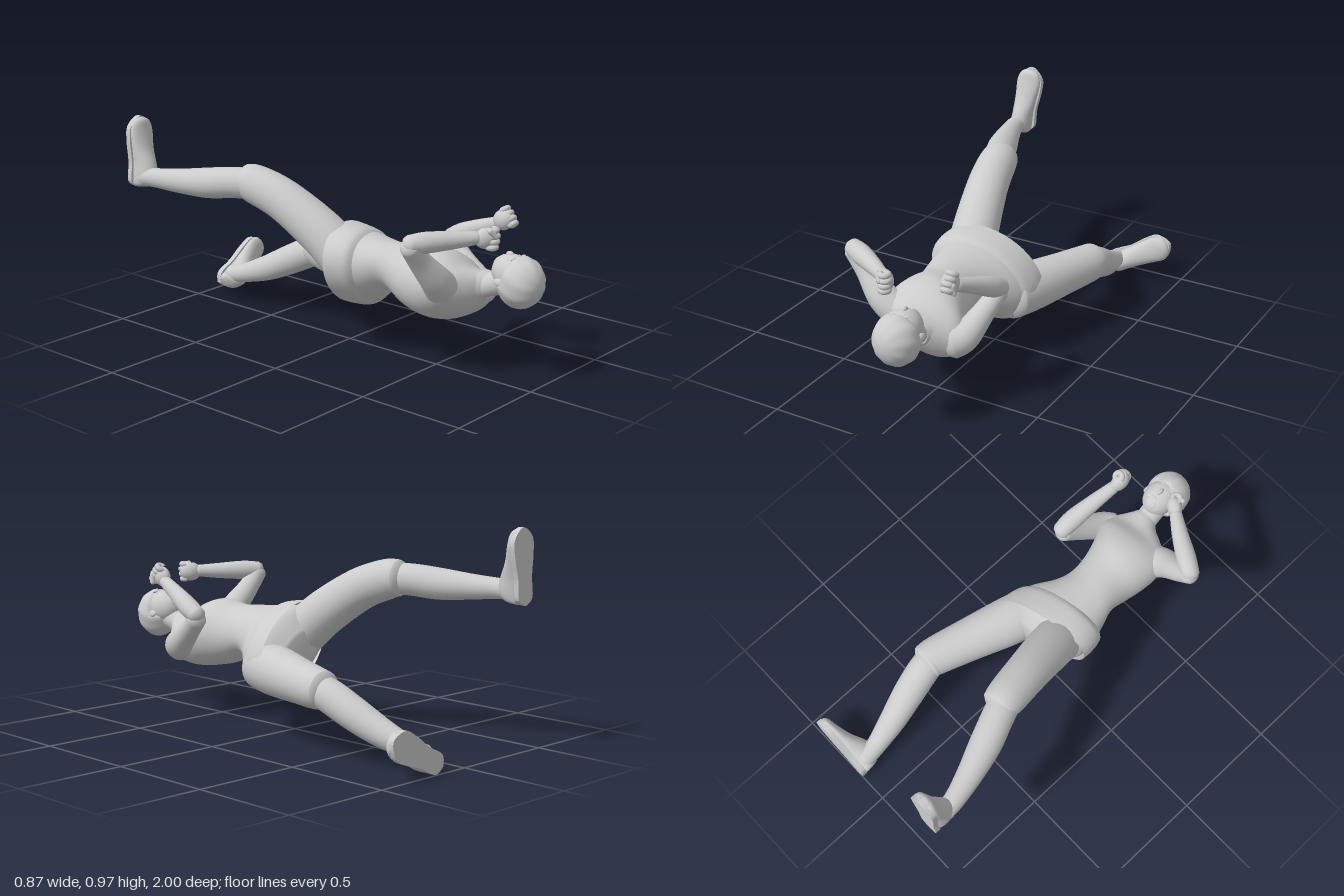
import * as THREE from 'three';

const V = (x, y, z) => new THREE.Vector3(x, y, z);
const material = new THREE.MeshStandardMaterial({ color: 0xcccccc });
const openMaterial = new THREE.MeshStandardMaterial({ color: 0xcccccc, side: THREE.DoubleSide });

function addMesh(parent, name, geometry, mat = material) {
  const mesh = new THREE.Mesh(geometry, mat);
  mesh.name = name;
  parent.add(mesh);
  return mesh;
}

// Smooth skin over a list of rings, with optional end caps
function skin(rings, capped = true) {
  const n = rings[0].length, pos = [], idx = [];
  rings.forEach(r => r.forEach(p => pos.push(p.x, p.y, p.z)));
  for (let i = 0; i < rings.length - 1; i++) {
    for (let j = 0; j < n; j++) {
      const a = i * n + j, b = i * n + (j + 1) % n;
      idx.push(a, b, a + n, b, b + n, a + n);
    }
  }
  if (capped) {
    for (const i of [0, rings.length - 1]) {
      const mid = rings[i].reduce((s, p) => s.add(p), V(0, 0, 0)).divideScalar(n);
      const c = pos.push(mid.x, mid.y, mid.z) / 3 - 1;
      for (let j = 0; j < n; j++) {
        const a = i * n + j, b = i * n + (j + 1) % n;
        i ? idx.push(a, b, c) : idx.push(b, a, c);
      }
    }
  }
  // Turn the faces outward
  let volume = 0;
  const at = k => V(pos[3 * k], pos[3 * k + 1], pos[3 * k + 2]).sub(rings[0][0]);
  for (let k = 0; k < idx.length; k += 3) volume += at(idx[k]).dot(at(idx[k + 1]).cross(at(idx[k + 2])));
  if (volume < 0) idx.reverse();
  const g = new THREE.BufferGeometry();
  g.setAttribute('position', new THREE.Float32BufferAttribute(pos, 3));
  g.setIndex(idx);
  g.computeVertexNormals();
  return g;
}

const ring = (c, u, v, n = 32) => Array.from({ length: n }, (_, j) => {
  const a = j / n * Math.PI * 2;
  return c.clone().addScaledVector(u, Math.cos(a)).addScaledVector(v, Math.sin(a));
});

// Interpolate rows of numbers smoothly
function smoothRows(rows, steps) {
  const last = rows.length - 1, out = [];
  const curves = rows[0].map((_, k) => new THREE.SplineCurve(rows.map((r, i) => new THREE.Vector2(i, r[k]))));
  for (let s = 0; s <= last * steps; s++) out.push(curves.map(c => c.getPoint(s / (last * steps)).y));
  return out;
}

// Body sections across z: [z, x, y, half width, half depth, roll in degrees]
function trunk(rows, shear = 0, capped = true) {
  return skin(smoothRows(rows, 5).map(([z, x, y, a, b, roll]) => {
    const t = THREE.MathUtils.degToRad(roll);
    const points = ring(V(x, y, z), V(Math.cos(t), Math.sin(t), 0).multiplyScalar(a),
      V(-Math.sin(t), Math.cos(t), 0).multiplyScalar(b), 48);
    points.forEach(p => { p.z -= shear * p.x; });
    return points;
  }), capped);
}

// Limb through points [x, y, z, radius]; bulge sets how far the rounded ends reach
function limb(rows, bulge = 0.6) {
  const fine = smoothRows(rows, 6), pts = fine.map(r => V(r[0], r[1], r[2]));
  const dir = pts[pts.length - 1].clone().sub(pts[0]);
  const size = dir.toArray().map(Math.abs), ref = V(0, 0, 0);
  ref.setComponent(size.indexOf(Math.min(...size)), 1);
  const rings = [];
  fine.forEach((row, i) => {
    const t = pts[Math.min(i + 1, pts.length - 1)].clone().sub(pts[Math.max(i - 1, 0)]).normalize();
    const u = t.clone().cross(ref).normalize(), v = t.clone().cross(u), r = row[3];
    const add = (off, k) => rings.push(ring(pts[i].clone().addScaledVector(t, off * bulge * r),
      u.clone().multiplyScalar(r * k), v.clone().multiplyScalar(r * k), 24));
    if (i === 0) { add(-1, 0.25); add(-0.67, 0.75); }
    add(0, 1);
    if (i === fine.length - 1) { add(0.67, 0.75); add(1, 0.25); }
  });
  return skin(rings);
}

function blob(parent, name, center, radii) {
  const m = addMesh(parent, name, new THREE.SphereGeometry(1, 32, 20));
  m.position.set(...center);
  m.scale.set(...radii);
  return m;
}

// Shoe: toe along +y, sole on z = 0
function makeFoot(name, x, y, turn) {
  const foot = new THREE.Group();
  foot.name = name;
  const rows = [[0.006, 0.02, 0.05], [0.02, 0.042, 0.1], [0.06, 0.05, 0.13], [0.12, 0.05, 0.115],
    [0.19, 0.056, 0.08], [0.27, 0.062, 0.055], [0.315, 0.045, 0.045], [0.33, 0.015, 0.03]];
  addMesh(foot, 'shoeUpper', skin(smoothRows(rows, 4).map(([fy, w, h]) =>
    ring(V(0, fy, h / 2 + 0.005), V(w, 0, 0), V(0, 0, h / 2)))));
  const outline = new THREE.Shape(new THREE.SplineCurve([[0, 0], [0.045, 0.03], [0.047, 0.12],
    [0.063, 0.22], [0.06, 0.29], [0, 0.337], [-0.06, 0.29], [-0.063, 0.22], [-0.047, 0.12],
    [-0.045, 0.03], [0, 0]].map(p => new THREE.Vector2(...p))).getPoints(50));
  addMesh(foot, 'sole', new THREE.ExtrudeGeometry(outline, { depth: 0.025, bevelEnabled: false }));
  foot.position.set(x, y, -1);
  foot.rotation.z = turn;
  return foot;
}

// Closed hand: local y along the forearm, x along the row of knuckles
function makeFist(name, center, forward, across) {
  const hand = new THREE.Group();
  hand.name = name;
  blob(hand, 'palm', [0, -0.008, 0], [0.045, 0.052, 0.034]);
  for (let i = 0; i < 4; i++) {
    const finger = addMesh(hand, 'finger', new THREE.TorusGeometry(0.017, 0.0135, 10, 14, Math.PI * 1.5));
    finger.position.set(-0.036 + i * 0.024, 0.022 - Math.abs(i - 1.3) * 0.005, 0.012);
    finger.rotation.set(0, Math.PI / 2, 0);
  }
  const thumb = addMesh(hand, 'thumb', new THREE.CapsuleGeometry(0.012, 0.035, 6, 12));
  thumb.position.set(-0.026, 0.008, 0.036);
  thumb.rotation.z = -0.8;
  const y = V(...forward).normalize(), z = V(...across).cross(y).normalize();
  hand.quaternion.setFromRotationMatrix(new THREE.Matrix4().makeBasis(y.clone().cross(z), y, z));
  hand.position.set(...center);
  return hand;
}

function makeHead() {
  const head = new THREE.Group();
  head.name = 'head';
  blob(head, 'face', [0, 0.025, -0.045], [0.077, 0.082, 0.098]);
  blob(head, 'jaw', [0, 0.043, -0.097], [0.046, 0.046, 0.044]);
  blob(head, 'nose', [0, 0.102, -0.065], [0.011, 0.016, 0.02]);
  blob(head, 'lips', [0, 0.087, -0.1], [0.02, 0.008, 0.007]);
  for (const s of [-1, 1]) {
    blob(head, 'eye', [s * 0.03, 0.093, -0.042], [0.013, 0.007, 0.007]);
    blob(head, 'brow', [s * 0.031, 0.099, -0.022], [0.019, 0.006, 0.005]);
    blob(head, 'ear', [s * 0.08, 0, -0.055], [0.01, 0.017, 0.027]).rotation.z = s * 0.3;
  }
  // Hair shell with soft wavy locks, longer at the nape than over the brow
  const hair = new THREE.SphereGeometry(1, 64, 32), p = hair.attributes.position;
  for (let i = 0; i < p.count; i++) {
    const d = V().fromBufferAttribute(p, i), a = Math.atan2(d.x, d.y);
    const k = 1 + 0.014 * Math.sin(9 * a + 4 * d.z) * Math.sqrt(Math.max(0, 1 - d.z * d.z));
    const floor = d.y > 0 ? -0.05 - 0.3 * Math.abs(d.x) : -0.85;
    const tuck = d.z < floor ? Math.max(0.75, 1 - (floor - d.z) * 0.8) : 1;
    p.setXYZ(i, d.x * 0.102 * k * tuck, d.y * 0.114 * k * tuck, d.z * 0.104 * k);
  }
  hair.computeVertexNormals();
  addMesh(head, 'hair', hair).position.y = -0.003;
  head.position.set(0.059, 0.452, 0.893);
  head.rotation.set(0.05, -0.06, 0.02);
  return head;
}

export function createModel() {
  const model = new THREE.Group();
  model.name = 'figure';

  // Torso, lying along z with the chest up
  addMesh(model, 'torso', trunk([
    [-0.045, 0, 0.37, 0.11, 0.07, -29], [0.03, 0, 0.375, 0.23, 0.153, -29],
    [0.12, -0.01, 0.375, 0.223, 0.16, -28], [0.22, -0.033, 0.403, 0.168, 0.13, -26],
    [0.3, -0.035, 0.421, 0.14, 0.107, -25], [0.4, -0.03, 0.395, 0.142, 0.135, -23],
    [0.5, -0.02, 0.39, 0.167, 0.156, -22], [0.58, 0, 0.38, 0.195, 0.145, -20],
    [0.65, 0.01, 0.375, 0.185, 0.105, -20], [0.7, 0.03, 0.385, 0.12, 0.08, -18],
    [0.73, 0.045, 0.4, 0.068, 0.062, -10]]));
  addMesh(model, 'hipBand', trunk([[0.155, -0.008, 0.378, 0.205, 0.148, -28],
    [0.125, -0.005, 0.376, 0.245, 0.168, -29], [0.065, -0.003, 0.376, 0.262, 0.177, -29],
    [0.012, -0.003, 0.378, 0.26, 0.18, -29]], 0.16, false), openMaterial);
  addMesh(model, 'neck', limb([[0.035, 0.385, 0.67, 0.06], [0.048, 0.41, 0.74, 0.053], [0.056, 0.44, 0.82, 0.055]]));
  addMesh(model, 'collar', trunk([[0.715, 0.04, 0.397, 0.085, 0.075, -12],
    [0.74, 0.046, 0.407, 0.062, 0.06, -10]], 0, false), openMaterial);
  model.add(makeHead());

  // Legs, with trousers cut off at the knee
  addMesh(model, 'leftThigh', limb([[0.12, 0.3, 0.08, 0.11], [0.155, 0.295, -0.05, 0.113],
    [0.215, 0.29, -0.24, 0.1], [0.263, 0.286, -0.4, 0.09], [0.27, 0.285, -0.455, 0.083]], 0.3));
  addMesh(model, 'leftCalf', limb([[0.265, 0.285, -0.4, 0.07], [0.26, 0.262, -0.48, 0.074],
    [0.24, 0.203, -0.6, 0.072], [0.212, 0.14, -0.73, 0.062], [0.187, 0.094, -0.86, 0.047], [0.18, 0.075, -0.94, 0.045]]));
  addMesh(model, 'rightThigh', limb([[-0.1, 0.42, 0.06, 0.11], [-0.13, 0.53, -0.06, 0.106],
    [-0.175, 0.652, -0.24, 0.096], [-0.205, 0.707, -0.38, 0.09], [-0.215, 0.715, -0.44, 0.08]], 0.3));
  addMesh(model, 'rightCalf', limb([[-0.21, 0.71, -0.38, 0.07], [-0.25, 0.71, -0.48, 0.071],
    [-0.3, 0.698, -0.6, 0.07], [-0.35, 0.694, -0.74, 0.056], [-0.384, 0.695, -0.86, 0.045], [-0.388, 0.69, -0.94, 0.045]]));
  model.add(makeFoot('leftFoot', 0.133, 0.03, -1.1), makeFoot('rightFoot', -0.388, 0.633, -0.09));

  // Arms, raised with closed hands
  addMesh(model, 'leftUpperArm', limb([[0.15, 0.33, 0.62, 0.073], [0.19, 0.35, 0.58, 0.066],
    [0.22, 0.42, 0.48, 0.05], [0.246, 0.492, 0.388, 0.043]]));
  addMesh(model, 'leftForearm', limb([[0.251, 0.506, 0.38, 0.04], [0.245, 0.54, 0.45, 0.045],
    [0.225, 0.59, 0.56, 0.037], [0.203, 0.635, 0.67, 0.028]]));
  addMesh(model, 'rightUpperArm', limb([[-0.135, 0.42, 0.62, 0.075], [-0.19, 0.468, 0.63, 0.066],
    [-0.272, 0.56, 0.615, 0.05], [-0.34, 0.64, 0.612, 0.043]]));
  addMesh(model, 'rightForearm', limb([[-0.343, 0.648, 0.61, 0.04], [-0.275, 0.65, 0.65, 0.045],
    [-0.17, 0.65, 0.715, 0.037], [-0.09, 0.652, 0.77, 0.028]]));
  model.add(makeFist('leftHand', [0.195, 0.66, 0.705], [-0.1, 0.55, 0.8], [0, 1, -0.6]));
  model.add(makeFist('rightHand', [-0.053, 0.648, 0.797], [0.8, 0, 0.5], [0, -1, 0]));
  return model;
}
